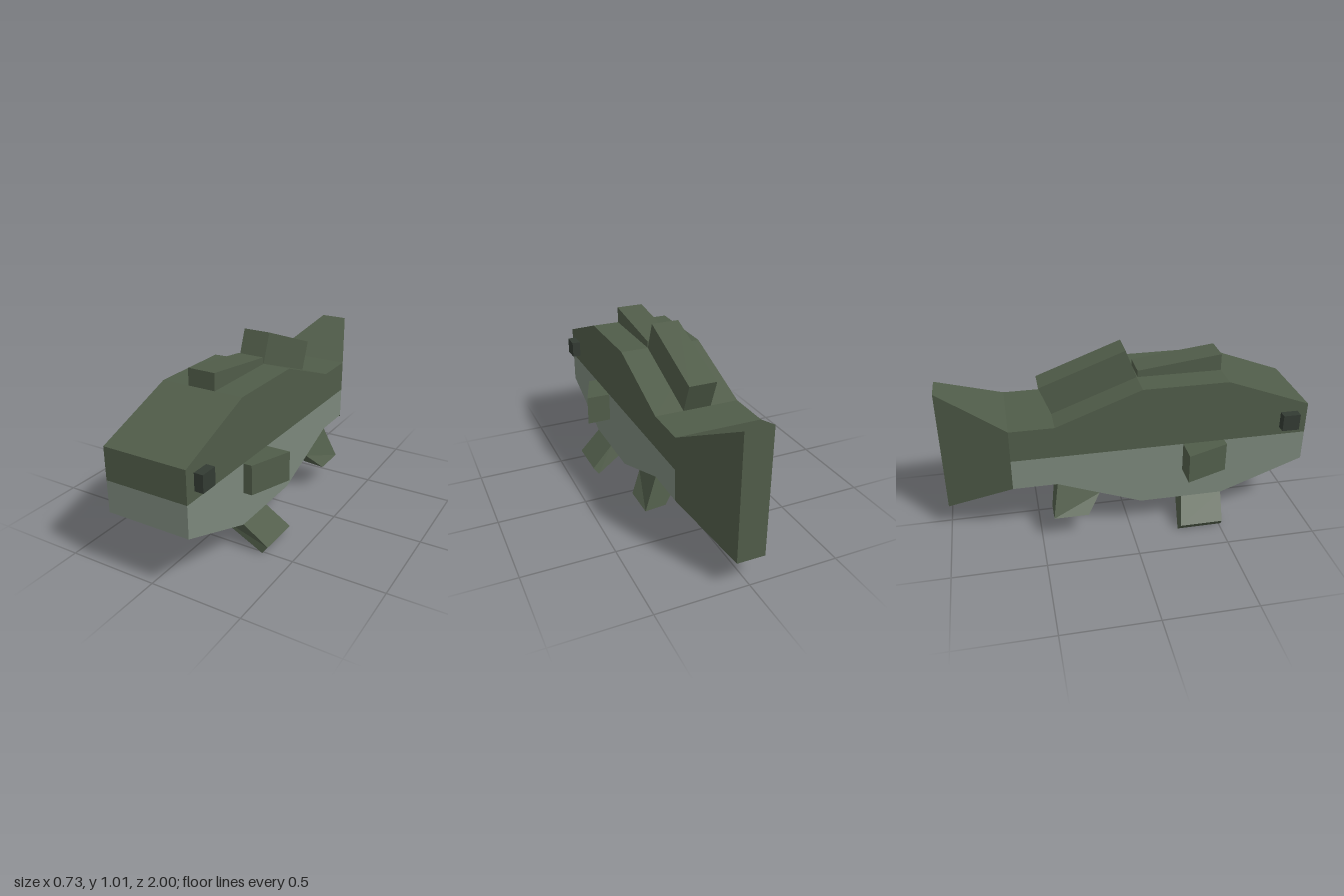
import * as THREE from 'three';

const material = (name, color) => Object.assign(new THREE.MeshStandardMaterial({ color }), { name });

// Flat-sided prism across x from a side outline of [z, y] points
function sidePrism(outline, width) {
  const shape = new THREE.Shape(outline.map(([z, y]) => new THREE.Vector2(z, y)));
  return new THREE.ExtrudeGeometry(shape, { depth: width, bevelEnabled: false })
    .translate(0, 0, -width / 2)
    .rotateY(-Math.PI / 2);
}

// Six-sided block between two four-cornered ends; side = -1 mirrors it in x
function block(endA, endB, side = 1) {
  const p = [...endA, ...endB].map(([x, y, z]) => new THREE.Vector3(x * side, y, z));
  const quads = [[3, 2, 1, 0], [4, 5, 6, 7]];
  for (let i = 0; i < 4; i++) {
    const j = (i + 1) % 4;
    quads.push([i, j, j + 4, i + 4]);
  }
  const tris = quads.flatMap(([a, b, c, d]) => [[a, b, c], [a, c, d]]);
  // Turn the faces outwards if the enclosed volume comes out negative
  let volume = 0;
  for (const [a, b, c] of tris) volume += p[a].dot(p[b].clone().cross(p[c]));
  const points = tris.flatMap(([a, b, c]) => (volume < 0 ? [p[a], p[c], p[b]] : [p[a], p[b], p[c]]));
  const geometry = new THREE.BufferGeometry().setFromPoints(points);
  geometry.computeVertexNormals();
  return geometry;
}

// Upright rectangle at depth z
const upright = (halfWidth, low, high, z) => [
  [-halfWidth, low, z], [halfWidth, low, z], [halfWidth, high, z], [-halfWidth, high, z],
];

export function createModel() {
  const green = material('moss green', 0x505c49);
  const grey = material('belly grey', 0x7b877b);
  const dark = material('eye dark', 0x333b33);

  const group = new THREE.Group();
  group.name = 'fish';
  const add = (name, geometry, mat) => {
    const mesh = new THREE.Mesh(geometry, mat);
    mesh.name = name;
    group.add(mesh);
  };

  const bodyWidth = 0.464, finWidth = 0.154;

  // Body, split along its middle
  add('back', sidePrism([
    [1, 0.503], [1, 0.68], [0.535, 0.855], [0.065, 0.855],
    [-0.4, 0.68], [-0.64, 0.68], [-0.64, 0.503],
  ], bodyWidth), green);
  add('belly', sidePrism([
    [1, 0.503], [1, 0.33], [0.535, 0.155], [0.065, 0.155],
    [-0.4, 0.33], [-0.64, 0.33], [-0.64, 0.503],
  ], bodyWidth), grey);

  // Tail flares in height and narrows in width
  add('tail', block(upright(0.232, 0.33, 0.68, -0.64), upright(0.077, 0.155, 0.855, -1)), green);

  // Two fins along the back
  add('frontDorsalFin', sidePrism([[0.535, 0.84], [0.535, 0.948], [0.07, 0.892], [0.07, 0.84]], finWidth), green);
  add('rearDorsalFin', sidePrism([[0.065, 0.855], [0.005, 1.013], [-0.462, 0.838], [-0.4, 0.68]], finWidth), green);

  for (const [label, side] of [['left', 1], ['right', -1]]) {
    // Eye
    add(label + 'Eye', new THREE.BoxGeometry(0.1, 0.093, 0.096).translate(side * 0.23, 0.595, 0.894), dark);

    // Side fin, opening towards the tail
    const plan = [[0.2, 0.53], [0.28, 0.53], [0.367, 0.297], [0.2, 0.297]];
    const level = (y) => plan.map(([x, z]) => [x, y, z]);
    add(label + 'SideFin', block(level(0.338), level(0.503), side), green);

    // Splayed fin under the chest
    add(label + 'ChestFin', block(
      [[0.077, 0.155, 0.532], [0.232, 0.155, 0.532], [0.232, 0.155, 0.3], [0.077, 0.155, 0.3]],
      [[0.33, 0.003, 0.512], [0.36, 0.043, 0.508], [0.36, 0.043, 0.267], [0.33, 0.003, 0.258]],
      side), green);

    // Splayed fin under the rear slope
    add(label + 'RearFin', block(
      [[0.077, 0.243, -0.17], [0.232, 0.243, -0.17], [0.232, 0.33, -0.4], [0.077, 0.33, -0.4]],
      [[0.19, 0.165, -0.242], [0.305, 0.155, -0.245], [0.305, 0.155, -0.434], [0.19, 0.165, -0.432]],
      side), green);
  }
  return group;
}
